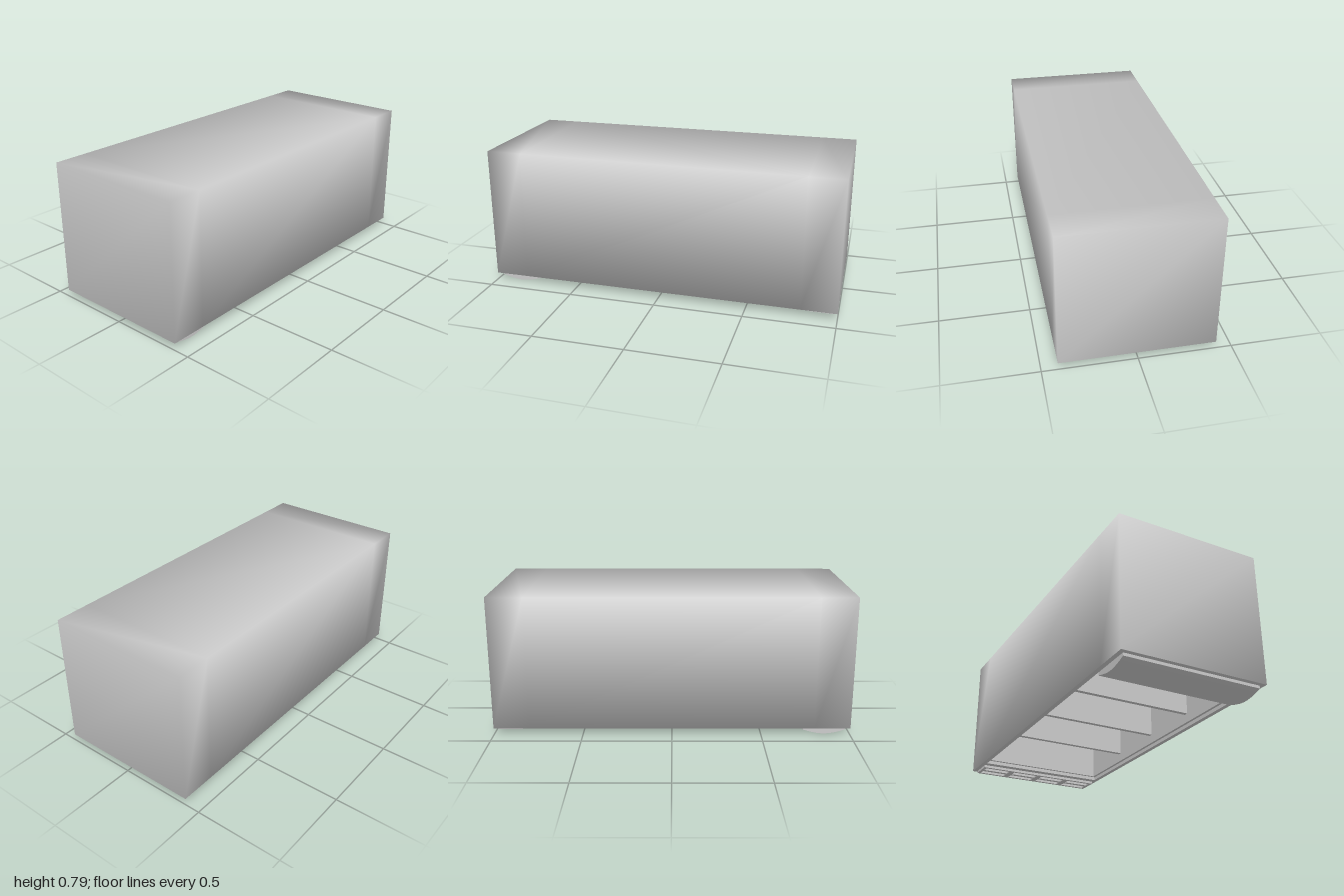
import * as THREE from 'three';
import { mergeVertices } from 'three/addons/utils/BufferGeometryUtils.js';

const W = 0.415, BASE = 0.04, TOP = 0.79;
const OPEN = { x: 0.39, z0: -0.8, z1: 0.735 };
const LIP = { x: 0.375, z0: -0.785, z1: 0.72 };

function rectangle(path, x0, x1, z0, z1) {
  path.moveTo(x0, z0);
  path.lineTo(x1, z0);
  path.lineTo(x1, z1);
  path.lineTo(x0, z1);
  path.closePath();
  return path;
}

// Removes a run of indices, used to open the underside of a box
function dropFaces(geometry, from, to) {
  const index = Array.from(geometry.index.array);
  index.splice(from, to - from);
  geometry.setIndex(index);
  geometry.clearGroups();
  return geometry;
}

// Outer casing: sharp outline with normals blended round the edges
function casing() {
  let g = new THREE.BoxGeometry(2 * W, TOP - BASE, 2, 1, 1, 3);
  g.translate(0, (TOP + BASE) / 2, 0);
  const p = g.attributes.position;
  for (let i = 0; i < p.count; i++) {
    if (Math.abs(p.getZ(i)) < 0.9) p.setZ(i, Math.sign(p.getZ(i)) * 0.8);
  }
  g.deleteAttribute('uv');
  g.deleteAttribute('normal');
  g = mergeVertices(g);
  g.computeVertexNormals();
  return dropFaces(g, 54, 72);
}

// Flat ring facing down at height y
function ring(outer, inner, y) {
  const s = rectangle(new THREE.Shape(), -outer.x, outer.x, outer.z0, outer.z1);
  s.holes.push(rectangle(new THREE.Path(), -inner.x, inner.x, inner.z0, inner.z1));
  return new THREE.ShapeGeometry(s).rotateX(Math.PI / 2).translate(0, y, 0);
}

// Inward facing box without a floor
function hollow(r, y0, y1, open) {
  const g = new THREE.BoxGeometry(2 * r.x, y1 - y0, r.z1 - r.z0);
  g.translate(0, (y0 + y1) / 2, (r.z0 + r.z1) / 2);
  g.scale(-1, 1, 1);
  g.computeVertexNormals();
  return dropFaces(g, open ? 12 : 18, 24);
}

export function createModel() {
  const model = new THREE.Group();
  const material = new THREE.MeshStandardMaterial({ color: 0xcccccc });
  const add = (name, geometry, parent = model) => {
    const mesh = new THREE.Mesh(geometry, material);
    mesh.name = name;
    parent.add(mesh);
    return mesh;
  };

  add('casing', casing());

  // Open underside with a small stepped lip
  add('bottomRim', ring({ x: W, z0: -1, z1: 1 }, OPEN, BASE));
  add('rimStep', hollow(OPEN, BASE, 0.06, true));
  add('innerLip', ring(OPEN, LIP, 0.06));
  add('cavity', hollow(LIP, 0.06, 0.76, false));

  // Cross walls dividing the cavity into four bays
  const dividers = new THREE.Group();
  dividers.name = 'dividers';
  model.add(dividers);
  for (let i = 1; i < 4; i++) {
    const z = THREE.MathUtils.lerp(OPEN.z0, OPEN.z1, i / 4);
    const g = new THREE.BoxGeometry(2 * LIP.x, 0.65, 0.024);
    add('divider', g.translate(0, 0.435, z), dividers);
  }

  // Curved pad under the front
  const pad = new THREE.Shape();
  pad.moveTo(0.735, 0.042);
  pad.lineTo(0.735, 0.024);
  pad.bezierCurveTo(0.8, 0.004, 0.83, 0, 0.855, 0);
  pad.bezierCurveTo(0.88, 0, 0.92, 0.004, 0.975, 0.024);
  pad.lineTo(0.975, 0.042);
  pad.closePath();
  const padGeometry = new THREE.ExtrudeGeometry(pad, { depth: 0.78, bevelEnabled: false, curveSegments: 6 });
  padGeometry.rotateY(-Math.PI / 2).translate(0.39, 0, 0);
  add('frontPad', padGeometry);

  // Slotted plate under the back: four columns of two windows
  const plate = rectangle(new THREE.Shape(), -0.39, 0.39, -0.98, -0.84);
  for (let c = 0; c < 4; c++) {
    const x = -0.39 + (c + 0.5) * 0.195;
    for (const z of [-0.942, -0.878]) {
      plate.holes.push(rectangle(new THREE.Path(), x - 0.08, x + 0.08, z - 0.02, z + 0.02));
    }
  }
  const plateGeometry = new THREE.ExtrudeGeometry(plate, { depth: 0.017, bevelEnabled: false });
  add('slottedPlate', plateGeometry.rotateX(Math.PI / 2).translate(0, 0.042, 0));

  return model;
}
